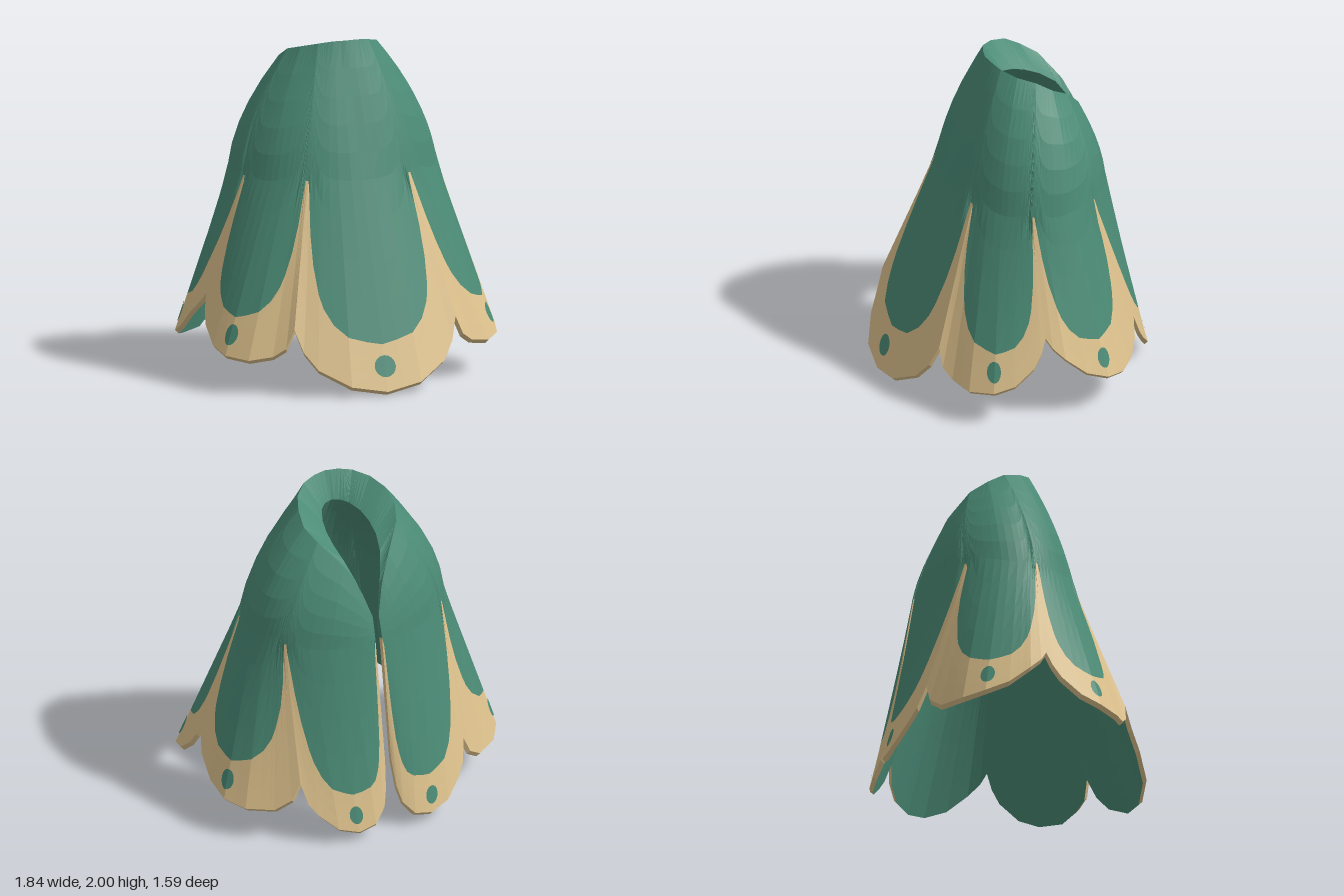
import * as THREE from 'three';

const green = new THREE.MeshStandardMaterial({ color: 0x4b8b76 });
green.name = 'green cloth';
const tan = new THREE.MeshStandardMaterial({ color: 0xdec28d });
tan.name = 'tan trim';

const V = (a) => new THREE.Vector3(a[0], a[1], a[2]);

// Linear lookup in rows of [key, ...values]
function lookup(rows, k) {
  let i = 0;
  while (i < rows.length - 2 && k > rows[i + 1][0]) i++;
  const [a, b] = [rows[i], rows[i + 1]];
  const t = THREE.MathUtils.clamp((k - a[0]) / (b[0] - a[0]), 0, 1);
  return a.slice(1).map((v, j) => v + (b[j + 1] - v) * t);
}

// Hem of each petal on the left half: [across, x, y, z], notch at across = 1
const hems = [
  [[0, 0, 0, .79], [.43, .22, .04, .77], [.78, .4, .14, .69], [.92, .47, .24, .63], [1, .51, .37, .58]],
  [[-1, .51, .37, .58], [-.92, .56, .26, .575], [-.78, .63, .21, .54], [-.43, .76, .185, .48], [0, .86, .2, .36],
    [.43, .89, .24, .24], [.78, .89, .34, .12], [.92, .875, .42, .07], [1, .85, .51, .035]],
  [[-1, .85, .51, .035], [-.92, .88, .45, 0], [-.78, .91, .38, -.07], [-.43, .92, .27, -.2], [0, .9, .21, -.34],
    [.43, .82, .185, -.46], [.78, .68, .19, -.56], [.92, .59, .26, -.61], [1, .54, .37, -.62]],
  [[-1, .54, .37, -.62], [-.92, .51, .24, -.67], [-.78, .46, .17, -.71], [-.43, .36, .08, -.77], [0, .24, .045, -.8],
    [.43, .13, .07, -.8], [.78, .06, .15, -.77], [.92, .035, .25, -.74], [1, .02, .42, -.7]],
];
const notchAngles = [-31, 31, 74.5, 125, 178];
const panelBase = [.29, .44, .46, .3];

// Neck opening, by angle from the front: outer and inner lip
const outerLip = [[0, 0, 2, .12], [15, .08, 1.998, .105], [31, .16, 1.985, .075], [53, .24, 1.96, 0], [74.5, .285, 1.93, -.1],
  [100, .3, 1.87, -.2], [125, .26, 1.81, -.3], [151, .15, 1.68, -.41], [165, .07, 1.53, -.48], [178, .02, 1.36, -.54]];
const innerLip = [[0, 0, 1.84, .04], [15, .05, 1.84, .02], [31, .09, 1.83, -.02], [53, .125, 1.81, -.1], [74.5, .14, 1.78, -.18],
  [100, .14, 1.74, -.27], [125, .12, 1.68, -.36], [151, .08, 1.57, -.44], [165, .04, 1.43, -.49], [178, .02, 1.27, -.52]];

// Height of the trim across a petal: 0 at the middle, 1 in the tongue above a notch
const trimRise = [[0, 0], [.4, .04], [.6, .13], [.72, .23], [.79, .33], [.85, .49], [.9, .68], [.94, .92], [.97, 1], [1, 1]];

// One vertical line of cloth: outer and inner curves from hem to lip
function column(petal, w) {
  const angle = THREE.MathUtils.lerp(notchAngles[petal], notchAngles[petal + 1], (w + 1) / 2);
  const r = THREE.MathUtils.degToRad(angle);
  const dir = new THREE.Vector3(Math.sin(r), 0, Math.cos(r));
  const hem = V(lookup(hems[petal], w));
  const mid = new THREE.Vector3(.635 * Math.sin(r), 1.2, -.1 + .485 * Math.cos(r));
  const inward = dir.clone();
  if (angle > 170) inward.x = 0; // keeps the slit edges parallel
  const curve = (B, M, T) => ({
    B, M, T, C: M.clone().add(T).multiplyScalar(.5).addScaledVector(dir, .13 * Math.sin(r)),
  });
  const outer = curve(hem.clone().setY(hem.y + .022), mid, V(lookup(outerLip, angle)));
  const inner = curve(hem.clone().addScaledVector(inward, -.022), mid.clone().addScaledVector(inward, -.04),
    V(lookup(innerLip, angle)));
  const across = petal === 3 && w > 0 ? w ** 1.6 : Math.abs(w);
  const trimTop = THREE.MathUtils.lerp(panelBase[petal], 1.22, lookup(trimRise, across)[0]);
  return { outer, inner, trimTop, dir };
}

// Point on a curve: straight from hem to middle (0..1), then bowed to the lip (1..2)
function along({ B, M, C, T }, s) {
  if (s <= 1) return B.clone().lerp(M, s);
  const t = s - 1;
  return M.clone().multiplyScalar((1 - t) ** 2).addScaledVector(C, 2 * t * (1 - t)).addScaledVector(T, t * t);
}
const heightToS = ({ B, M, T }, y) => (y <= M.y ? (y - B.y) / (M.y - B.y) : 1 + (y - M.y) / (T.y - M.y));
const flip = (p) => new THREE.Vector3(-p.x, p.y, p.z);

// Collects triangles into a faceted mesh
class Surface {
  points = [];
  tri(a, b, c) { for (const p of [a, b, c]) this.points.push(p.x, p.y, p.z); }
  quad(a, b, c, d) { this.tri(a, b, c); this.tri(a, c, d); }
  mesh(name, material) {
    const g = new THREE.BufferGeometry();
    g.setAttribute('position', new THREE.Float32BufferAttribute(this.points, 3));
    g.computeVertexNormals();
    const m = new THREE.Mesh(g, material);
    m.name = name;
    return m;
  }
}

export function createModel() {
  const cape = new THREE.Group();
  cape.name = 'cape';

  // Columns from the front middle to the back slit, then mirrored
  const TRIM_ROWS = 3, PANEL_ROWS = 9, ROWS = TRIM_ROWS + PANEL_ROWS;
  const ticks = [0, .2, .43, .6, .72, .78, .85, .9, .92, .95, .97, 1];
  const both = [...ticks.slice(1).reverse().map((w) => -w), ...ticks];
  const half = [];
  hems.forEach((_, petal) => {
    for (const w of petal === 0 ? ticks : both.slice(1)) {
      const { outer, inner, trimTop } = column(petal, w);
      const s0 = heightToS(outer, trimTop);
      const rows = [];
      for (let j = 0; j <= ROWS; j++) {
        rows.push(j <= TRIM_ROWS ? s0 * j / TRIM_ROWS : s0 + (2 - s0) * (j - TRIM_ROWS) / PANEL_ROWS);
      }
      half.push({ out: rows.map((s) => along(outer, s)), inn: rows.map((s) => along(inner, s)) });
    }
  });
  const mirrored = half.slice(1).reverse().map((c) => ({ out: c.out.map(flip), inn: c.inn.map(flip) }));
  const cols = [...mirrored, ...half];

  // Outer cloth, trim, lining, hem edge and neck lip
  const panels = new Surface(), trim = new Surface(), lining = new Surface();
  const hemEdge = new Surface(), neckLip = new Surface(), slitTop = new Surface(), slitTrim = new Surface();
  for (let i = 0; i < cols.length - 1; i++) {
    const a = cols[i], b = cols[i + 1];
    for (let j = 0; j < ROWS; j++) {
      (j < TRIM_ROWS ? trim : panels).quad(a.out[j], b.out[j], b.out[j + 1], a.out[j + 1]);
      lining.quad(b.inn[j], a.inn[j], a.inn[j + 1], b.inn[j + 1]);
    }
    hemEdge.quad(a.inn[0], b.inn[0], b.out[0], a.out[0]);
    neckLip.quad(a.out[ROWS], b.out[ROWS], b.inn[ROWS], a.inn[ROWS]);
  }

  // Edges of the slit at the back
  const first = cols[0], last = cols[cols.length - 1];
  for (let j = 0; j < ROWS; j++) {
    const edge = j < TRIM_ROWS ? slitTrim : slitTop;
    edge.quad(last.out[j], last.inn[j], last.inn[j + 1], last.out[j + 1]);
    edge.quad(first.inn[j], first.out[j], first.out[j + 1], first.inn[j + 1]);
  }

  cape.add(panels.mesh('petalPanels', green), trim.mesh('petalTrim', tan), lining.mesh('lining', green),
    hemEdge.mesh('hemEdge', tan), neckLip.mesh('neckLip', green),
    slitTop.mesh('slitEdgeUpper', green), slitTrim.mesh('slitEdgeTrim', tan));

  // Dots: [petal, height, half width across the petal, half height]
  const dots = [[0, .168, .135, .062], [1, .342, .14, .06], [2, .35, .14, .06], [3, .175, .15, .055]];
  for (const [petal, y, rw, ry] of dots) {
    const spot = (w, h) => {
      const c = column(petal, petal === 0 ? Math.abs(w) : w);
      const p = along(c.outer, heightToS(c.outer, h)).addScaledVector(c.dir, .006);
      return petal === 0 && w < 0 ? flip(p) : p;
    };
    const n = 16, centre = spot(0, y);
    const rim = Array.from({ length: n }, (_, k) => {
      const t = k / n * Math.PI * 2;
      return spot(rw * Math.cos(t), y + ry * Math.sin(t));
    });
    const left = new Surface(), right = new Surface();
    rim.forEach((p, k) => {
      const q = rim[(k + 1) % n];
      left.tri(centre, p, q);
      right.tri(flip(centre), flip(q), flip(p));
    });
    cape.add(left.mesh(petal ? 'leftDot' + petal : 'frontDot', green));
    if (petal) cape.add(right.mesh('rightDot' + petal, green));
  }
  return cape;
}
